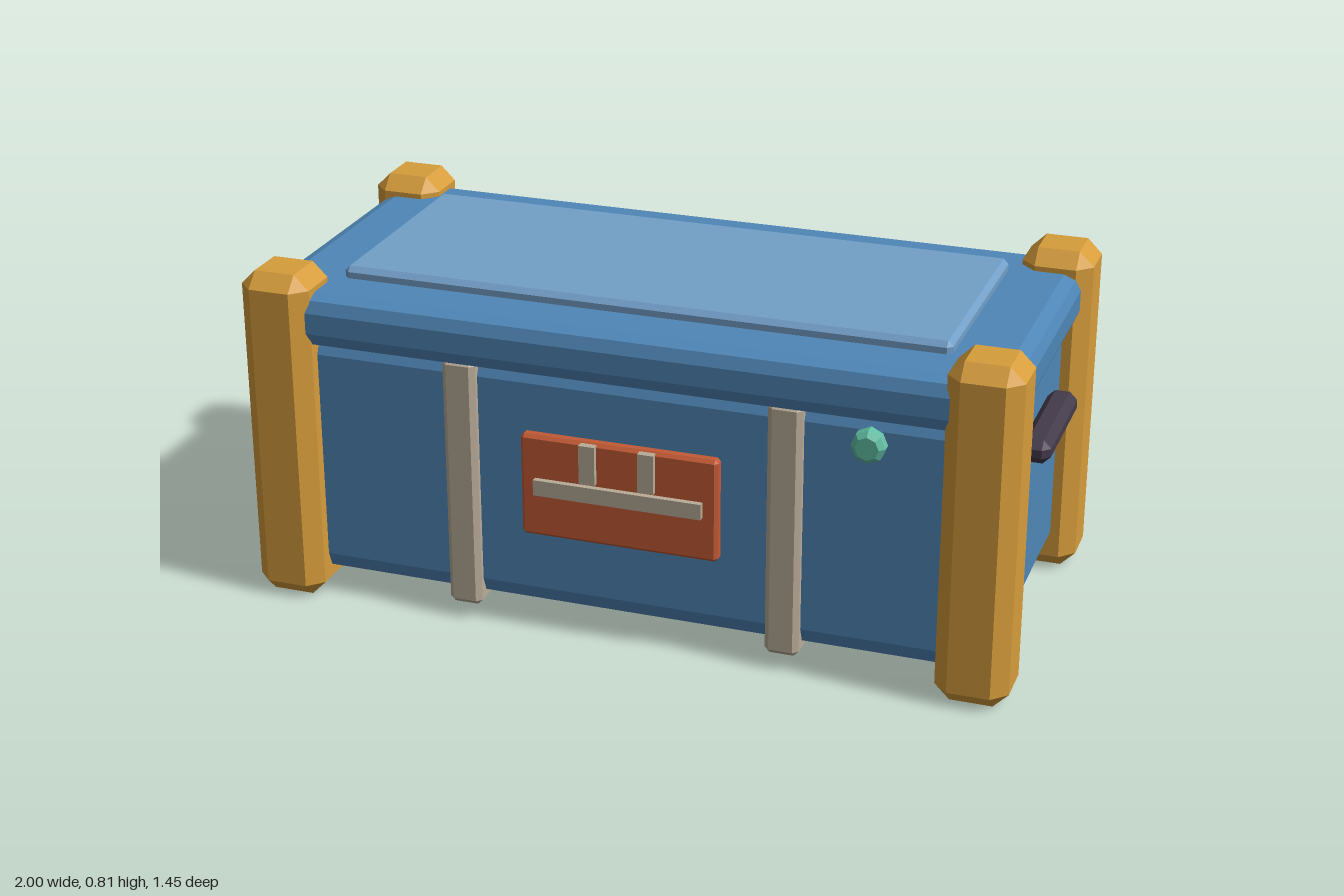
import * as THREE from 'three';
import { ConvexGeometry } from 'three/addons/geometries/ConvexGeometry.js';
import { RoundedBoxGeometry } from 'three/addons/geometries/RoundedBoxGeometry.js';

const mat = (name, color) => {
  const m = new THREE.MeshStandardMaterial({ color });
  m.name = name;
  return m;
};

// Box with every edge cut at 45 degrees
function chamferBox(w, h, d, c) {
  const x = w / 2, y = h / 2, z = d / 2, pts = [];
  for (const sx of [-1, 1]) for (const sy of [-1, 1]) for (const sz of [-1, 1]) {
    pts.push(new THREE.Vector3(sx * x, sy * (y - c), sz * (z - c)));
    pts.push(new THREE.Vector3(sx * (x - c), sy * y, sz * (z - c)));
    pts.push(new THREE.Vector3(sx * (x - c), sy * (y - c), sz * z));
  }
  return new ConvexGeometry(pts);
}

// Box with two flat facets along every edge
function facetBox(w, h, d, r) {
  const g = new RoundedBoxGeometry(w, h, d, 1, r);
  g.computeVertexNormals();
  return g;
}

export function createModel() {
  const blue = mat('blue paint', 0x4f87b7);
  const paleBlue = mat('pale blue paint', 0x739fc8);
  const gold = mat('gold', 0xd69d3c);
  const beige = mat('beige strap', 0xb9ac98);
  const rust = mat('rust red', 0xc35a35);
  const dark = mat('dark handle', 0x443a4b);
  const teal = mat('teal', 0x62bfa3);

  const model = new THREE.Group();
  const crate = new THREE.Group();
  crate.name = 'crate';
  crate.rotation.y = THREE.MathUtils.degToRad(20);
  model.add(crate);

  const add = (name, geo, material, x, y, z) => {
    const mesh = new THREE.Mesh(geo, material);
    mesh.name = name;
    mesh.position.set(x, y, z);
    crate.add(mesh);
    return mesh;
  };

  // Body, lid and raised lid panel
  add('body', facetBox(1.706, 0.61, 0.78, 0.05), blue, 0, 0.355, 0);
  add('lid', facetBox(1.776, 0.13, 0.85, 0.04), blue, 0, 0.698, 0);
  add('lidPanel', chamferBox(1.44, 0.05, 0.562, 0.012), paleBlue, 0, 0.765, 0);

  // Corner posts
  const post = chamferBox(0.168, 0.81, 0.168, 0.035);
  for (const sx of [-1, 1]) for (const sz of [-1, 1])
    add('cornerPost', post, gold, sx * 0.827, 0.405, sz * 0.367);

  // Straps running down the front, under the bottom and up the back
  const upright = chamferBox(0.08, 0.615, 0.062, 0.012);
  const under = chamferBox(0.08, 0.06, 0.82, 0.012);
  for (const sx of [-1, 1]) {
    for (const sz of [-1, 1])
      add('strapUpright', upright, beige, sx * 0.385, 0.343, sz * 0.381);
    add('strapUnder', under, beige, sx * 0.385, 0.065, 0);
  }

  // Handles on both ends
  const handle = chamferBox(0.07, 0.056, 0.325, 0.018);
  for (const sx of [-1, 1])
    add('handle', handle, dark, sx * 0.887, 0.503, 0);

  // Front plate with a crossbar and two short bars
  add('frontPlate', chamferBox(0.47, 0.25, 0.04, 0.008), rust, 0, 0.37, 0.394);
  add('plateCrossbar', new THREE.BoxGeometry(0.4, 0.038, 0.02), beige, 0, 0.372, 0.418);
  for (const sx of [-1, 1])
    add('plateShortBar', new THREE.BoxGeometry(0.038, 0.094, 0.02), beige, sx * 0.07, 0.445, 0.417);

  // Faceted stud with a bevelled rim
  const profile = [[0, -0.025], [0.039, -0.025], [0.039, 0.012], [0.027, 0.024], [0, 0.024]]
    .map(([r, y]) => new THREE.Vector2(r, y));
  const studGeo = new THREE.LatheGeometry(profile, 8).toNonIndexed();
  studGeo.computeVertexNormals();
  add('stud', studGeo, teal, 0.574, 0.58, 0.4).rotation.x = Math.PI / 2;

  return model;
}
